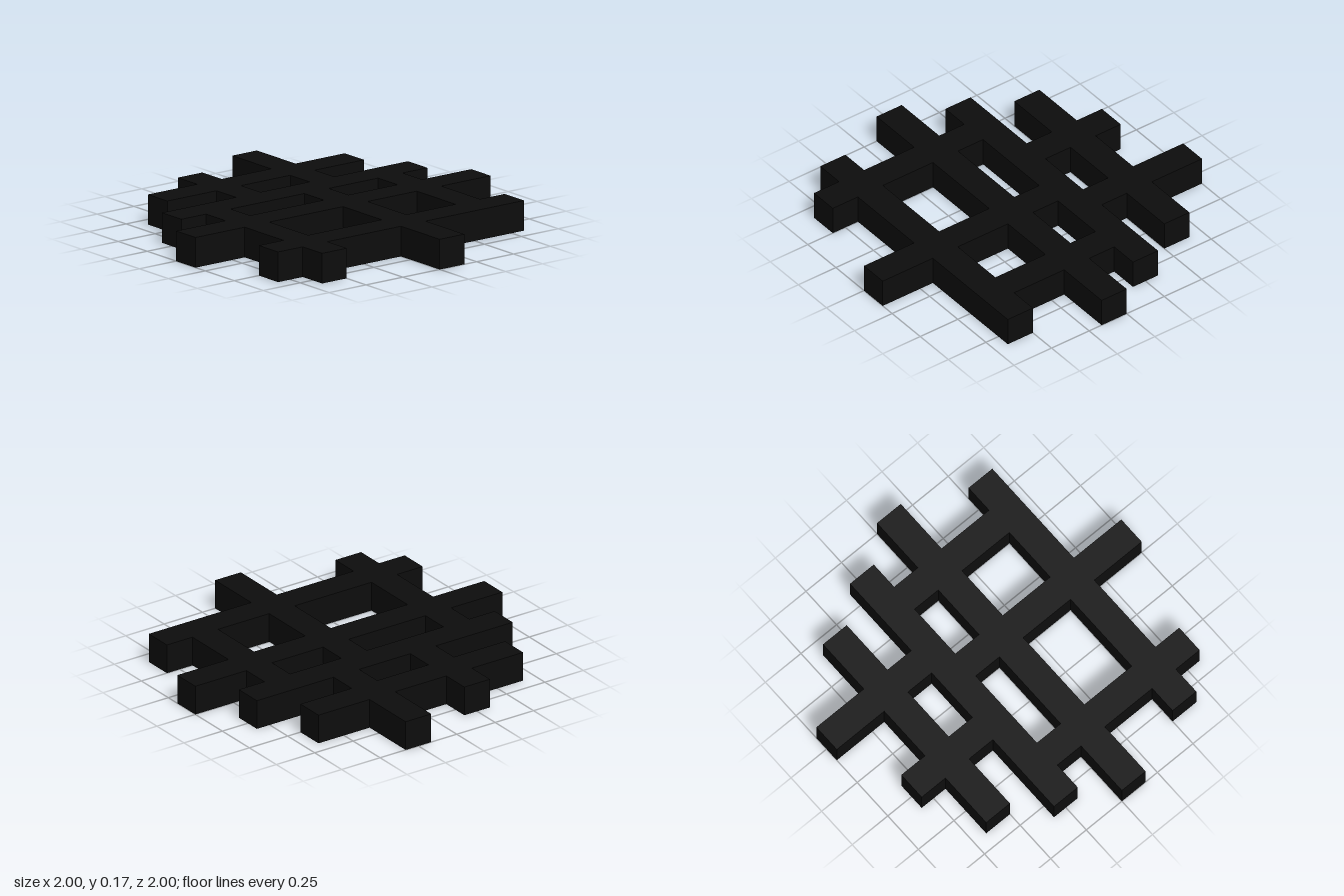
import * as THREE from 'three';

const U = 1 / 6; // one grid cell: the width and height of every bar

export function createModel() {
  const model = new THREE.Group();
  model.name = 'lattice';
  const black = new THREE.MeshStandardMaterial({ color: 0x0d0d0d });
  black.name = 'black';

  // Box covering grid cells x0..x1 by z0..z1, one cell high
  const bar = (name, x0, x1, z0, z1) => {
    const mesh = new THREE.Mesh(new THREE.BoxGeometry((x1 - x0) * U, U, (z1 - z0) * U), black);
    mesh.position.set((x0 + x1) * U / 2, U / 2, (z0 + z1) * U / 2);
    mesh.name = name;
    model.add(mesh);
  };

  // Long cross bars: [z, half length]
  for (const [z, half] of [[-4, 4], [-2, 5], [0, 6], [3, 5]]) {
    bar('crossBar', -half, half, z, z + 1);
  }

  // Lengthwise bars, cut where they meet the cross bars: [x, [z start, z end]...]
  const lengthwise = [
    [-2, [-5, -4], [-3, -2]],
    [1, [-6, -4], [-3, -2]],
    [-4, [-1, 0], [1, 3], [4, 5]],
    [0, [-1, 0], [1, 3], [4, 6]],
    [3, [-1, 0], [1, 3]],
  ];
  for (const [x, ...spans] of lengthwise) {
    for (const [z0, z1] of spans) bar('lengthwiseBar', x, x + 1, z0, z1);
  }
  return model;
}
